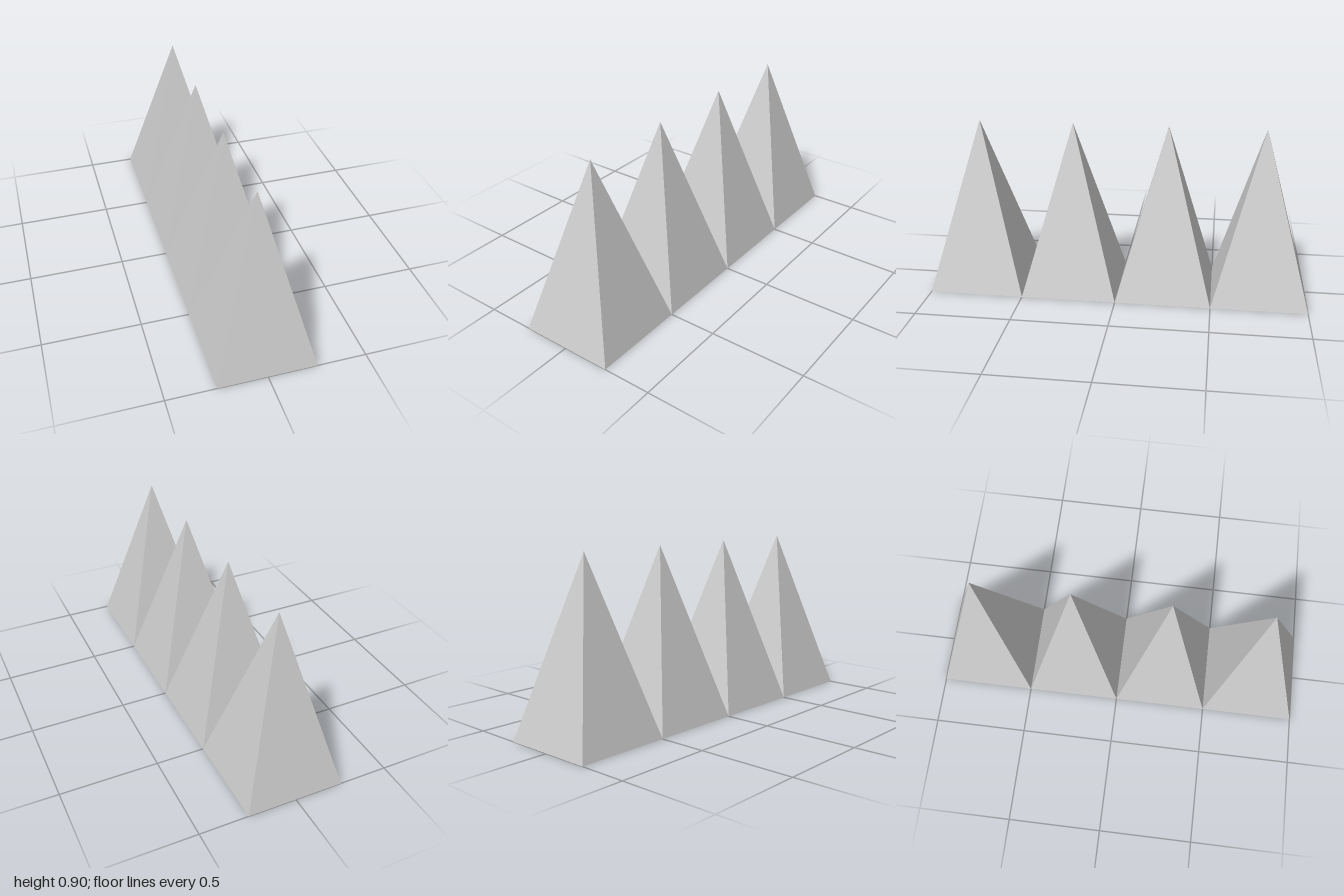
import * as THREE from 'three';

export function createModel() {
  const group = new THREE.Group();
  group.name = 'spikeRow';

  const count = 4, width = 0.5, height = 0.9;
  const material = new THREE.MeshStandardMaterial({
    color: 0xcccccc, flatShading: true, side: THREE.DoubleSide,
  });

  // Hollow four-sided spike, open underneath, base edges along x and z
  const spike = new THREE.ConeGeometry(width * Math.SQRT1_2, height, 4, 1, true);
  spike.rotateY(Math.PI / 4).translate(0, height / 2, 0);

  // Row of spikes touching base to base, front to back
  for (let i = 0; i < count; i++) {
    const mesh = new THREE.Mesh(spike, material);
    mesh.name = `spike${i + 1}`;
    mesh.position.z = ((count - 1) / 2 - i) * width;
    group.add(mesh);
  }
  return group;
}
